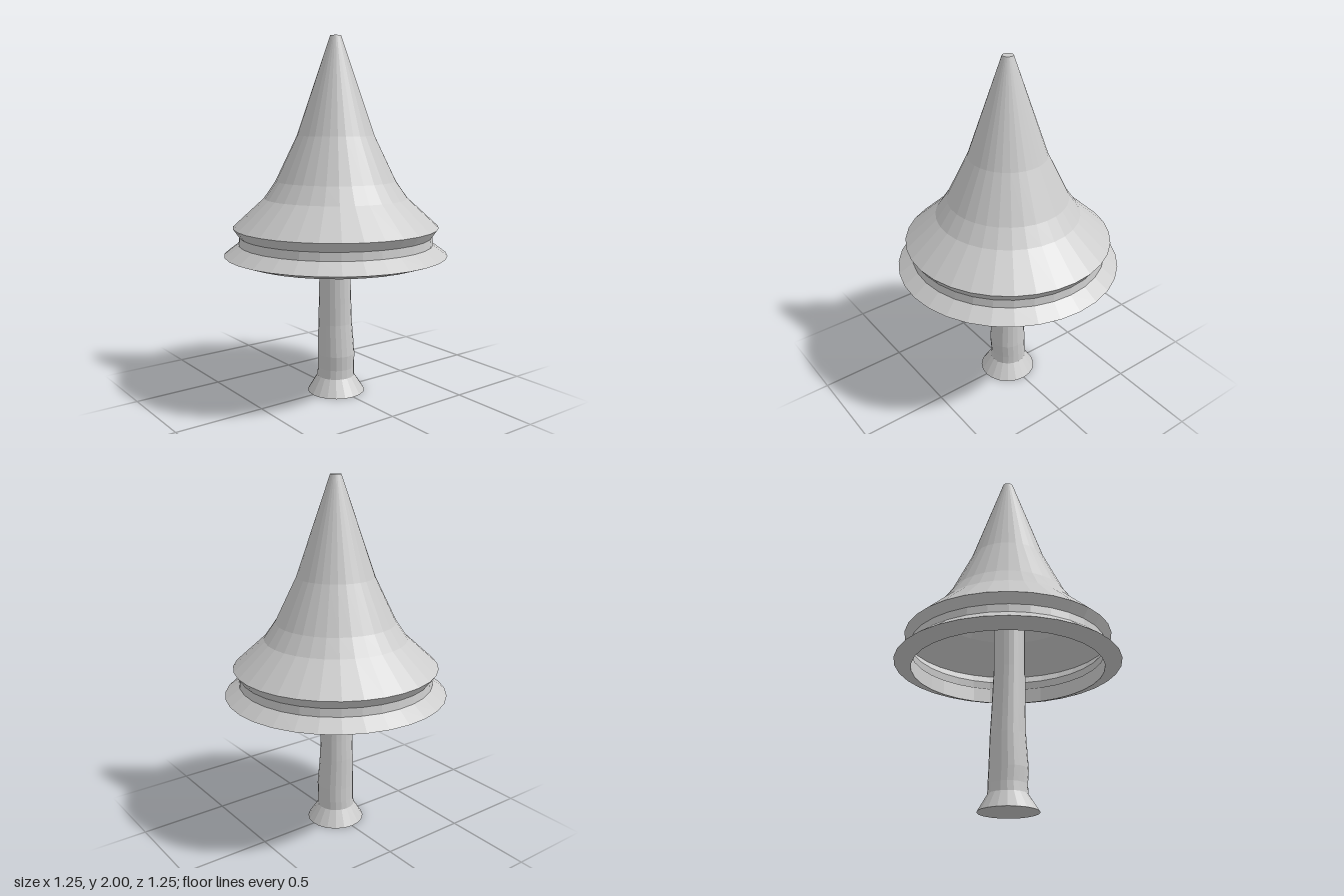
import * as THREE from 'three';

const material = new THREE.MeshStandardMaterial({
  color: 0xcccccc, flatShading: true, side: THREE.DoubleSide,
});

function lathe(name, profile, sides) {
  const points = profile.map(([r, y]) => new THREE.Vector2(r, y));
  const mesh = new THREE.Mesh(new THREE.LatheGeometry(points, sides), material);
  mesh.name = name;
  return mesh;
}

export function createModel() {
  const model = new THREE.Group();
  model.name = 'mushroom';

  // Hollow pointed cap: inner wall, lip, groove, flared skirt, blunt tip
  const cap = lathe('cap', [
    [0.535, 0.86], [0.53, 0.768], [0.625, 0.8], [0.545, 0.86], [0.54, 0.905],
    [0.575, 0.955], [0.4, 1.115], [0.335, 1.21], [0.215, 1.46], [0.03, 2], [0, 2],
  ], 32);
  model.add(cap);

  // Slightly crooked stem: radius, height, and sideways shift of each ring
  const rings = [
    [0, 0, 0, 0], [0.163, 0, 0.003, 0], [0.106, 0.09, 0, 0], [0.104, 0.14, 0, -0.002],
    [0.105, 0.22, 0.004, 0], [0.096, 0.4, -0.002, 0.003], [0.092, 0.52, 0, 0.005],
    [0.086, 0.77, 0.004, 0.009], [0.088, 1.05, 0.004, 0.009], [0.12, 1.12, 0, 0], [0, 1.12, 0, 0],
  ];
  const stem = lathe('stem', rings, 20);
  const position = stem.geometry.attributes.position;
  for (let i = 0; i < position.count; i++) {
    const [, , dx, dz] = rings[i % rings.length];
    position.setX(i, position.getX(i) + dx);
    position.setZ(i, position.getZ(i) + dz);
  }
  stem.geometry.computeVertexNormals();
  model.add(stem);

  return model;
}
